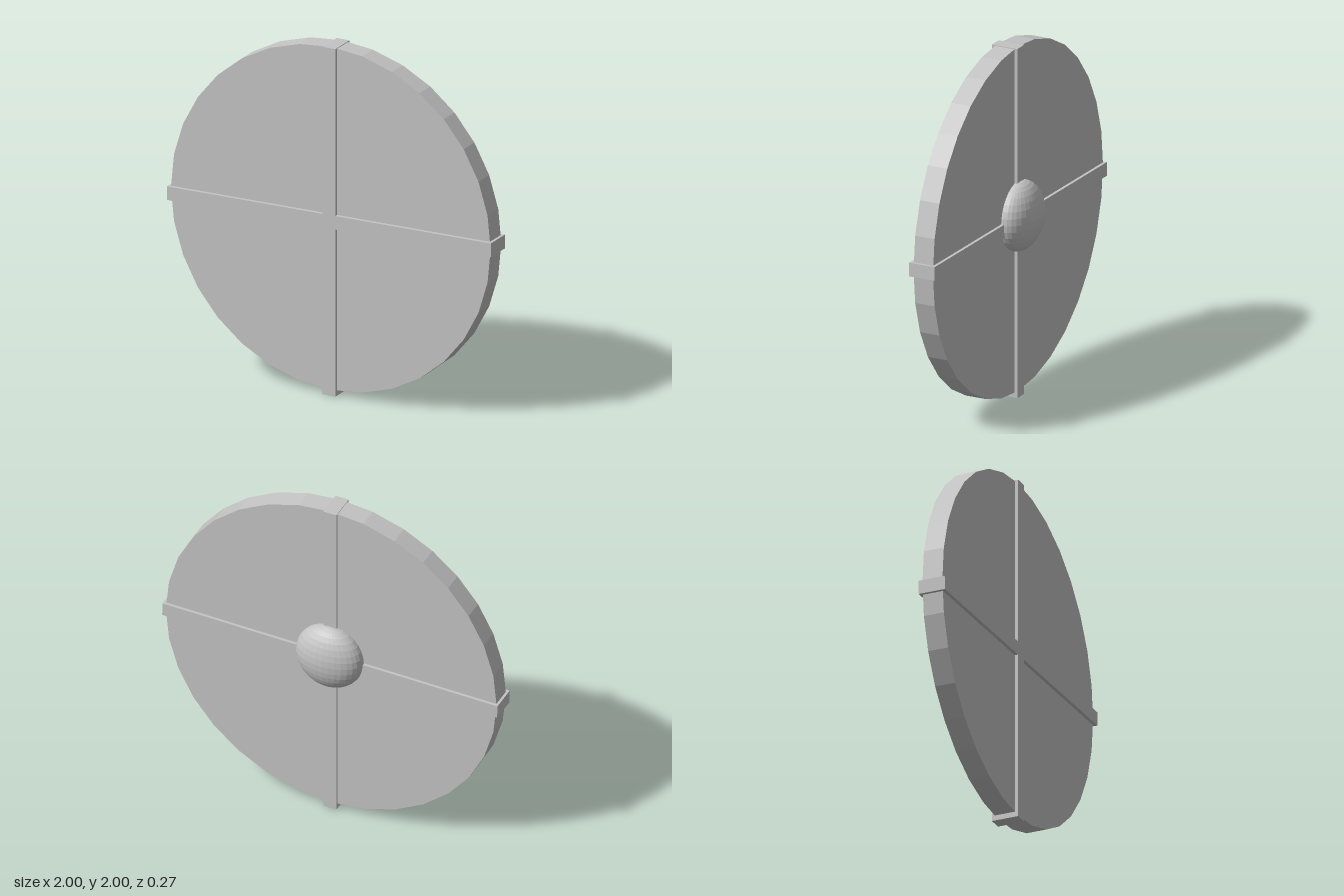
import * as THREE from 'three';

export function createModel() {
  const group = new THREE.Group();
  const grey = new THREE.MeshStandardMaterial({ color: 0xc4c4c4, flatShading: true });
  grey.name = 'plainGrey';

  const add = (name, geometry, x, y, z) => {
    const mesh = new THREE.Mesh(geometry, grey);
    mesh.name = name;
    mesh.position.set(x, y, z);
    group.add(mesh);
    return mesh;
  };

  // Round 32-sided board facing front
  add('disc', new THREE.CylinderGeometry(0.987, 0.987, 0.118, 32).rotateX(Math.PI / 2), 0, 1.013, 0.054);

  // Crossed straps, slightly thicker than the board; the horizontal one is a little tilted
  const thickness = 0.155, width = 0.078;
  add('verticalBar', new THREE.BoxGeometry(width, 2, thickness), 0, 1, 0.0555);
  add('horizontalBar', new THREE.BoxGeometry(2, width, thickness), 0, 1, 0.0555).rotation.z = 0.019;

  // Flattened boss on the back
  add('backBoss', new THREE.SphereGeometry(0.197, 32, 16).scale(1, 1, 0.59), 0, 1.035, -0.017);

  return group;
}
